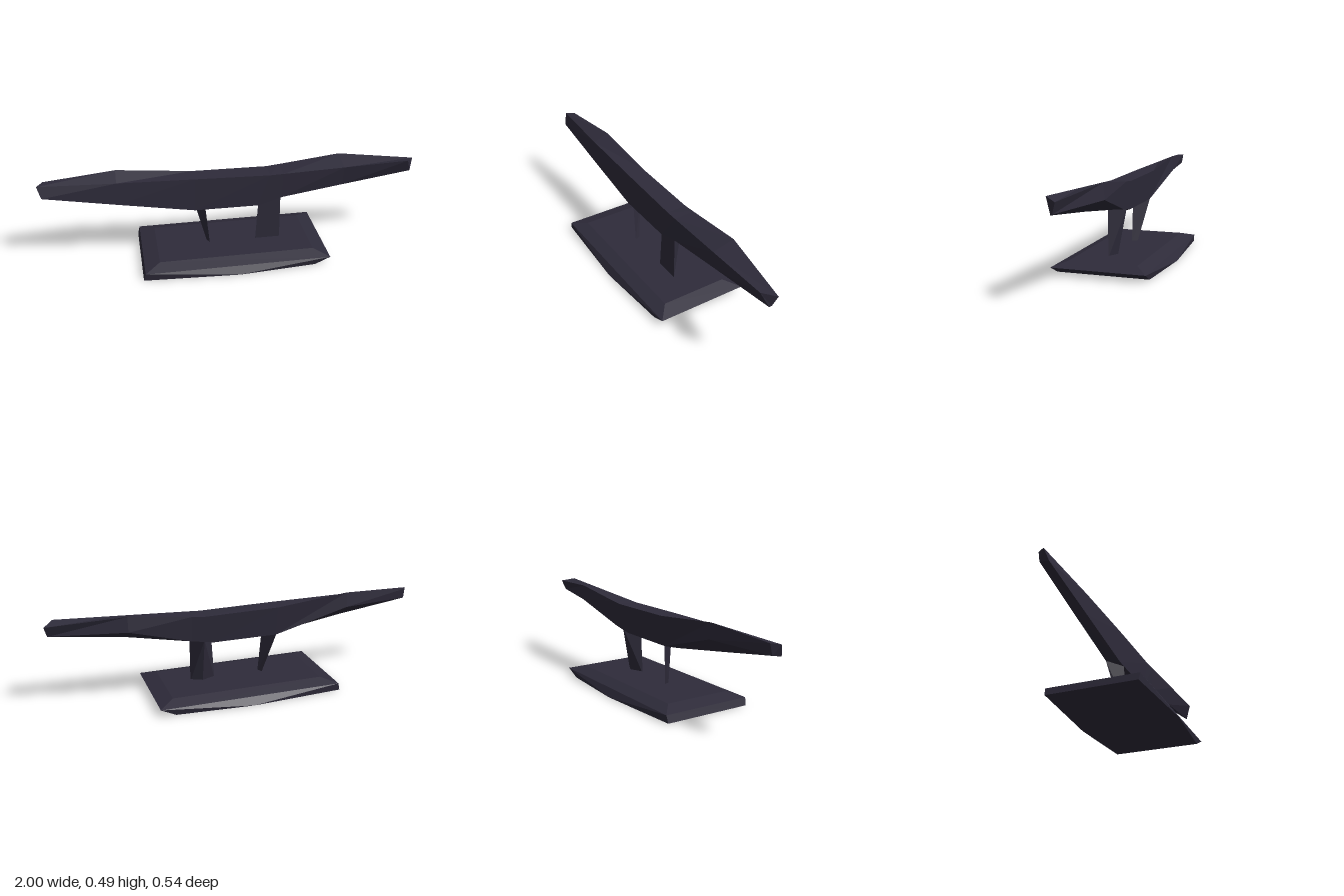
import * as THREE from 'three';
import { ConvexGeometry } from 'three/addons/geometries/ConvexGeometry.js';

const dark = new THREE.MeshStandardMaterial({ color: 0x2e2b3a, side: THREE.DoubleSide, flatShading: true });
dark.name = 'dark slate';

function add(group, name, geometry) {
  const mesh = new THREE.Mesh(geometry, dark);
  mesh.name = name;
  group.add(mesh);
}

// Faceted solid around a few corner points
function hull(points) {
  return new ConvexGeometry(points.map((p) => new THREE.Vector3(...p)));
}

// Faceted solid from four-cornered sections running along +x
function loft(sections) {
  const index = [];
  const last = (sections.length - 1) * 4;
  for (let i = 0; i < last; i += 4) {
    for (let j = 0; j < 4; j++) {
      const k = (j + 1) % 4;
      const a = i + j, b = i + k, c = i + 4 + k, d = i + 4 + j;
      index.push(a, d, c, a, c, b);
    }
  }
  index.push(0, 1, 2, 0, 2, 3, last, last + 2, last + 1, last, last + 3, last + 2);
  return facets(sections.flat(2), index);
}

function facets(positions, index) {
  const g = new THREE.BufferGeometry();
  g.setAttribute('position', new THREE.Float32BufferAttribute(positions, 3));
  g.setIndex(index);
  const flat = g.toNonIndexed();
  flat.computeVertexNormals();
  return flat;
}

export function createModel() {
  const group = new THREE.Group();
  group.name = 'wingOnStand';

  // Base slab: bevelled top, rim corners, and a bottom bowed out at the middle
  const base = [];
  for (const s of [-1, 1]) {
    base.push([-0.5, 0, 0.24 * s], [0, 0, 0.27 * s], [0.41, 0, 0.24 * s]);
    for (const e of [-1, 1]) base.push([0.49 * e, 0.04, 0.245 * s], [0.41 * e, 0.063, 0.178 * s]);
  }
  add(group, 'base', hull(base));

  // Gull wing; each section is front top, back top, back bottom, front bottom
  add(group, 'wing', loft([
    [[-1, 0.46, -0.01], [-0.97, 0.465, -0.05], [-0.975, 0.41, -0.04], [-0.98, 0.4, 0.01]],
    [[-0.6, 0.455, 0.01], [-0.6, 0.49, -0.075], [-0.6, 0.41, -0.083], [-0.6, 0.335, 0.018]],
    [[-0.2, 0.45, 0.022], [-0.2, 0.45, -0.077], [-0.2, 0.29, -0.055], [-0.2, 0.268, 0.025]],
    [[0.2, 0.443, 0.03], [0.2, 0.445, -0.077], [0.15, 0.29, -0.055], [0.14, 0.266, 0.025]],
    [[0.27, 0.446, 0.032], [0.27, 0.452, -0.077], [0.27, 0.312, -0.058], [0.27, 0.305, 0.025]],
    [[0.6, 0.46, 0.04], [0.6, 0.49, -0.075], [0.6, 0.41, -0.083], [0.6, 0.35, 0.02]],
    [[0.95, 0.475, 0.048], [1, 0.46, -0.015], [0.985, 0.405, 0.005], [0.98, 0.4, 0.015]],
  ]));

  // Solid post, narrowing toward the base
  add(group, 'leftPost', hull([
    [0.14, 0.285, 0.025], [0.26, 0.32, 0.025], [0.2, 0.31, -0.055],
    [0.125, 0.05, 0.025], [0.26, 0.05, 0.025], [0.2, 0.05, -0.005],
  ]));

  // Thin tapered plate
  add(group, 'rightPost', facets([
    -0.2, 0.29, -0.055, -0.145, 0.27, 0.025, -0.125, 0.06, 0.025, -0.138, 0.06, -0.005,
  ], [0, 1, 2, 0, 2, 3]));

  return group;
}
